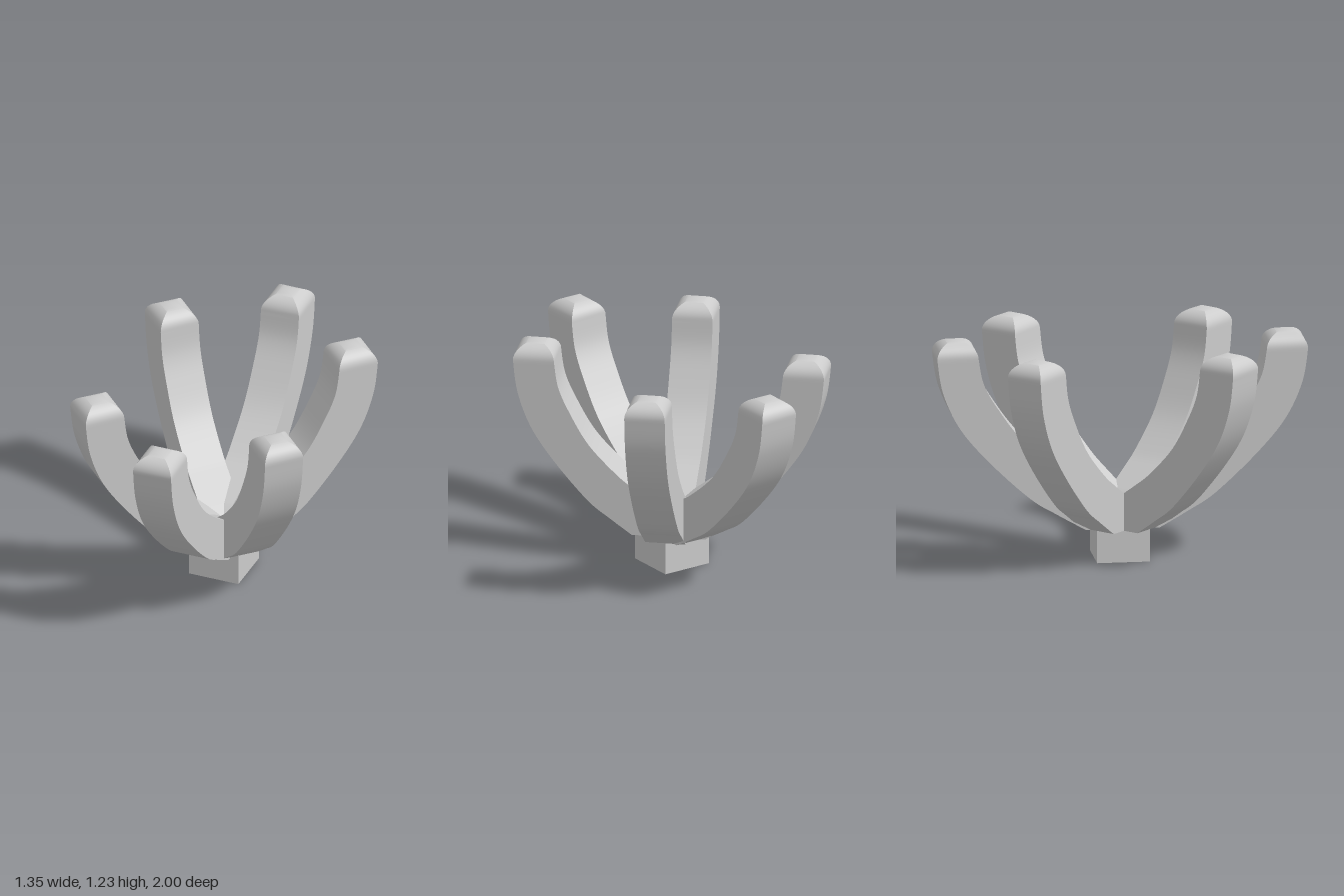
import * as THREE from 'three';
import { toCreasedNormals } from 'three/addons/utils/BufferGeometryUtils.js';

const HALF = 0.11; // half the width of an arm
const v = (r, y) => new THREE.Vector2(r, y);

// Outer and inner edge of the curved arm, as paired (radius, height) points
const outer = [v(0.2, 0.178), v(0.32, 0.265), v(0.44, 0.36), v(0.62, 0.57), v(0.747, 0.76), v(0.82, 0.957), v(0.845, 1.14)];
const inner = [v(0.06, 0.35), v(0.185, 0.44), v(0.285, 0.52), v(0.435, 0.68), v(0.54, 0.86), v(0.6, 1.0), v(0.622, 1.14)];

// Square arm swept outward along +z and up; reach is the extra spread at the tip
function armGeometry(reach) {
  const spread = (pts) => new THREE.SplineCurve(pts.map((p, k) => {
    const mid = (outer[k].x + inner[k].x) / 2;
    return v(p.x + reach * (mid - 0.13) / 0.6, p.y);
  }));
  const out = spread(outer), inn = spread(inner);

  // Root section at the centre, then the curved length
  const sections = [{ o: v(0, 0.178), i: v(0, 0.3), w: HALF }];
  const steps = 36;
  for (let k = 0; k <= steps; k++) {
    sections.push({ o: out.getPoint(k / steps), i: inn.getPoint(k / steps), w: HALF });
  }

  // Domed four-sided tip
  const { o, i } = sections[sections.length - 1];
  const mid = (o.x + i.x) / 2, half = (o.x - i.x) / 2;
  for (let k = 1; k <= 10; k++) {
    const t = (k / 10) * Math.PI / 2;
    const s = Math.max(Math.cos(t), 0.002), y = o.y + 0.088 * Math.sin(t);
    sections.push({ o: v(mid + half * s, y), i: v(mid - half * s, y), w: HALF * s });
  }

  const pos = [], index = [];
  sections.forEach(({ o, i, w }, row) => {
    pos.push(-w, o.y, o.x, w, o.y, o.x, w, i.y, i.x, -w, i.y, i.x);
    if (row === 0) return;
    for (let j = 0; j < 4; j++) {
      const a = (row - 1) * 4 + j, b = (row - 1) * 4 + (j + 1) % 4;
      index.push(a, b, b + 4, a, b + 4, a + 4);
    }
  });
  const geo = new THREE.BufferGeometry();
  geo.setAttribute('position', new THREE.Float32BufferAttribute(pos, 3));
  geo.setIndex(index);
  return toCreasedNormals(geo, 0.5);
}

export function createModel() {
  const group = new THREE.Group();
  const material = new THREE.MeshStandardMaterial({ color: 0xcccccc });

  // Square foot
  const base = new THREE.Mesh(new THREE.BoxGeometry(0.285, 0.178, 0.285), material);
  base.position.y = 0.089;
  base.name = 'base';
  group.add(base);

  // Long arms at front and back, shorter ones on the diagonals
  const longArm = armGeometry(0.155), shortArm = armGeometry(0);
  const addArm = (name, geo, degrees) => {
    const arm = new THREE.Mesh(geo, material);
    arm.name = name;
    arm.rotation.y = THREE.MathUtils.degToRad(degrees);
    group.add(arm);
  };
  addArm('frontArm', longArm, 0);
  addArm('backArm', longArm, 180);
  addArm('frontLeftArm', shortArm, 45);
  addArm('backLeftArm', shortArm, 135);
  addArm('backRightArm', shortArm, 225);
  addArm('frontRightArm', shortArm, 315);
  return group;
}
